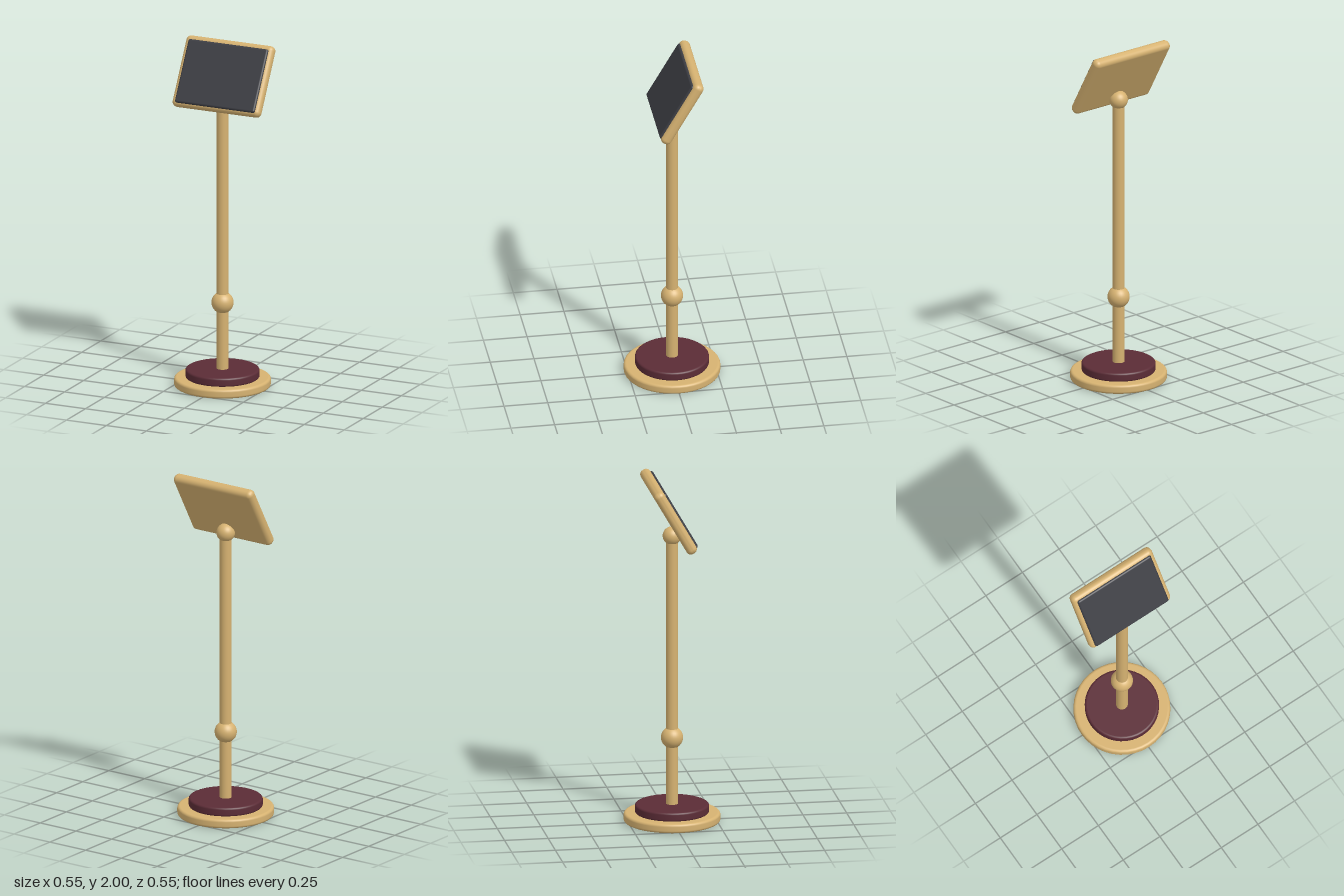
import * as THREE from 'three';
import { RoundedBoxGeometry } from 'three/addons/geometries/RoundedBoxGeometry.js';

const brass = new THREE.MeshStandardMaterial({ color: 0xd6b271 });
brass.name = 'brass';
const maroon = new THREE.MeshStandardMaterial({ color: 0x5b2c36 });
maroon.name = 'maroon';
const darkGlass = new THREE.MeshStandardMaterial({ color: 0x3c3d43 });
darkGlass.name = 'dark glass';

function part(parent, name, geometry, material, x = 0, y = 0, z = 0) {
  const mesh = new THREE.Mesh(geometry, material);
  mesh.name = name;
  mesh.position.set(x, y, z);
  parent.add(mesh);
  return mesh;
}

// Disc with a softly rounded rim, resting on y = 0
function roundedDisc(radius, height, bevel) {
  const points = [new THREE.Vector2(0, 0), new THREE.Vector2(radius - bevel - 0.001, 0)];
  const steps = 5;
  for (const [cy, start] of [[bevel, -Math.PI / 2], [height - bevel, 0]]) {
    for (let i = 0; i <= steps; i++) {
      const a = start + (i / steps) * Math.PI / 2;
      points.push(new THREE.Vector2(radius - bevel + Math.cos(a) * bevel, cy + Math.sin(a) * bevel));
    }
  }
  points.push(new THREE.Vector2(radius - bevel - 0.001, height), new THREE.Vector2(0, height));
  return new THREE.LatheGeometry(points, 40);
}

export function createModel() {
  const model = new THREE.Group();
  model.name = 'displayStand';

  // Stepped round foot
  part(model, 'base', roundedDisc(0.274, 0.053, 0.015), brass);
  part(model, 'basePad', roundedDisc(0.21, 0.052, 0.012), maroon, 0, 0.05);

  // Pole with a decorative ball and a swivel ball at the top
  part(model, 'pole', new THREE.CylinderGeometry(0.034, 0.034, 1.59, 32), brass, 0, 0.875);
  part(model, 'poleBall', new THREE.SphereGeometry(0.063, 32, 20), brass, 0, 0.49);
  part(model, 'swivelBall', new THREE.SphereGeometry(0.053, 32, 20), brass, 0, 1.673);

  // Tilted display head
  const head = new THREE.Group();
  head.name = 'displayHead';
  head.position.set(0, 1.815, -0.02);
  head.rotation.x = -Math.PI / 6;
  model.add(head);
  part(head, 'frame', new RoundedBoxGeometry(0.548, 0.418, 0.063, 5, 0.028), brass);
  part(head, 'screen', new RoundedBoxGeometry(0.5, 0.374, 0.03, 4, 0.012), darkGlass, 0, -0.005, 0.027);

  return model;
}
